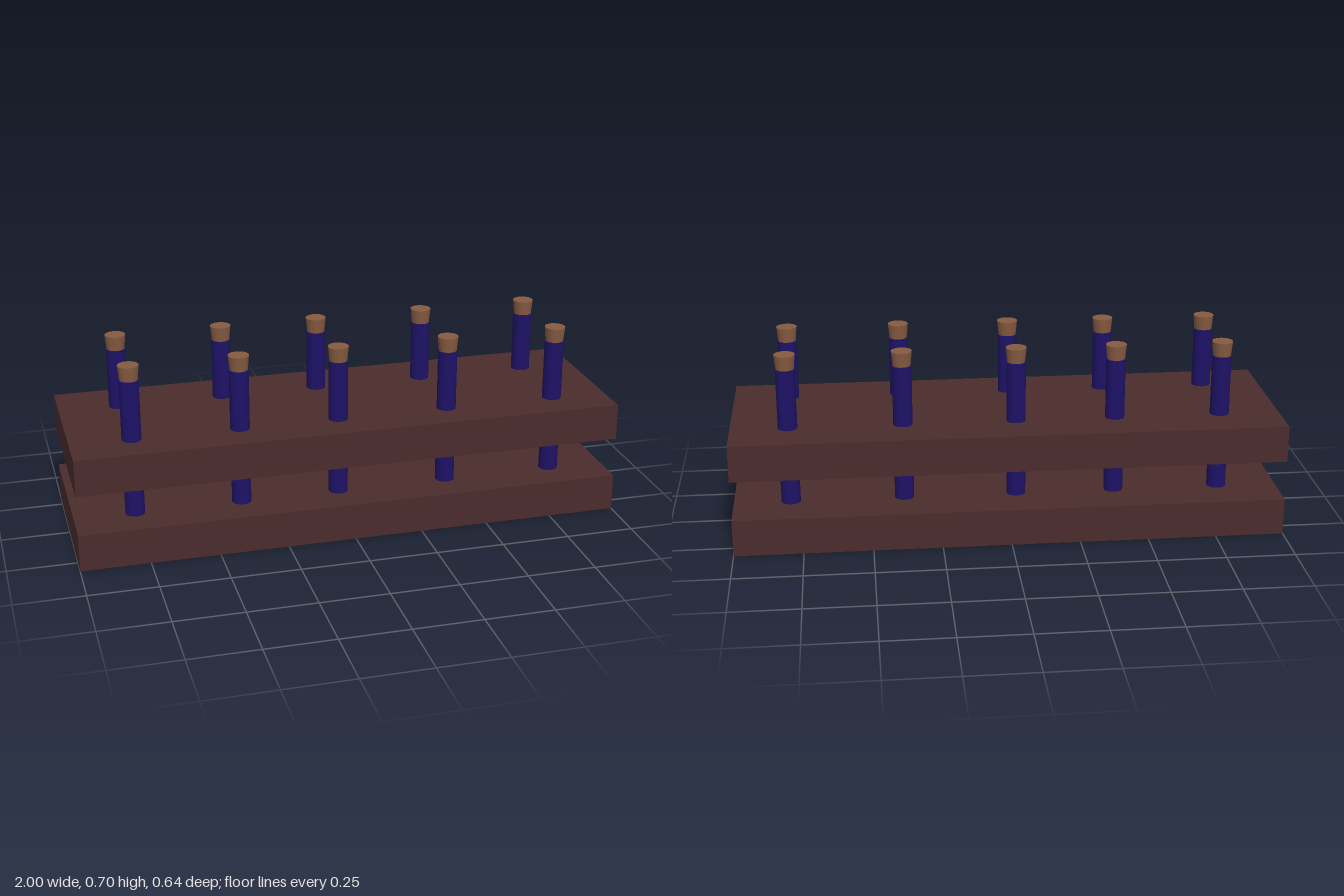
import * as THREE from 'three';

export function createModel() {
  const model = new THREE.Group();
  const wood = new THREE.MeshStandardMaterial({ color: 0x4a2b2b });
  const glass = new THREE.MeshStandardMaterial({ color: 0x1e1266, side: THREE.DoubleSide });
  const corkMat = new THREE.MeshStandardMaterial({ color: 0x855a40 });

  function add(parent, name, geometry, material, y) {
    const mesh = new THREE.Mesh(geometry, material);
    mesh.name = name;
    mesh.position.y = y;
    parent.add(mesh);
  }

  // Two wooden boards of the rack
  const depth = 0.636;
  add(model, 'baseBoard', new THREE.BoxGeometry(2, 0.136, depth), wood, 0.068);
  add(model, 'upperBoard', new THREE.BoxGeometry(2, 0.135, depth), wood, 0.3525);

  // Tube with a rounded bottom set into the base, and a thin rolled lip
  const r = 0.035;
  const profile = [];
  for (let i = 0; i <= 6; i++) {
    const a = (i / 6) * Math.PI / 2;
    profile.push(new THREE.Vector2(r * Math.sin(a), 0.1 - r * Math.cos(a)));
  }
  profile.push(new THREE.Vector2(r, 0.641));
  const tubeGeo = new THREE.LatheGeometry(profile, 32);
  const lipGeo = new THREE.TorusGeometry(0.0345, 0.0025, 8, 32).rotateX(Math.PI / 2);

  // Tapered stopper, its narrow end inside the tube mouth
  const corkGeo = new THREE.CylinderGeometry(0.0375, 0.031, 0.067, 32);

  for (const z of [0.176, -0.151]) {
    for (const x of [-0.78, -0.392, -0.03, 0.38, 0.793]) {
      const tube = new THREE.Group();
      tube.name = 'corkedTube';
      tube.position.set(x, 0, z);
      add(tube, 'tubeBody', tubeGeo, glass, 0);
      add(tube, 'tubeLip', lipGeo, glass, 0.6425);
      add(tube, 'cork', corkGeo, corkMat, 0.6635);
      model.add(tube);
    }
  }
  return model;
}
